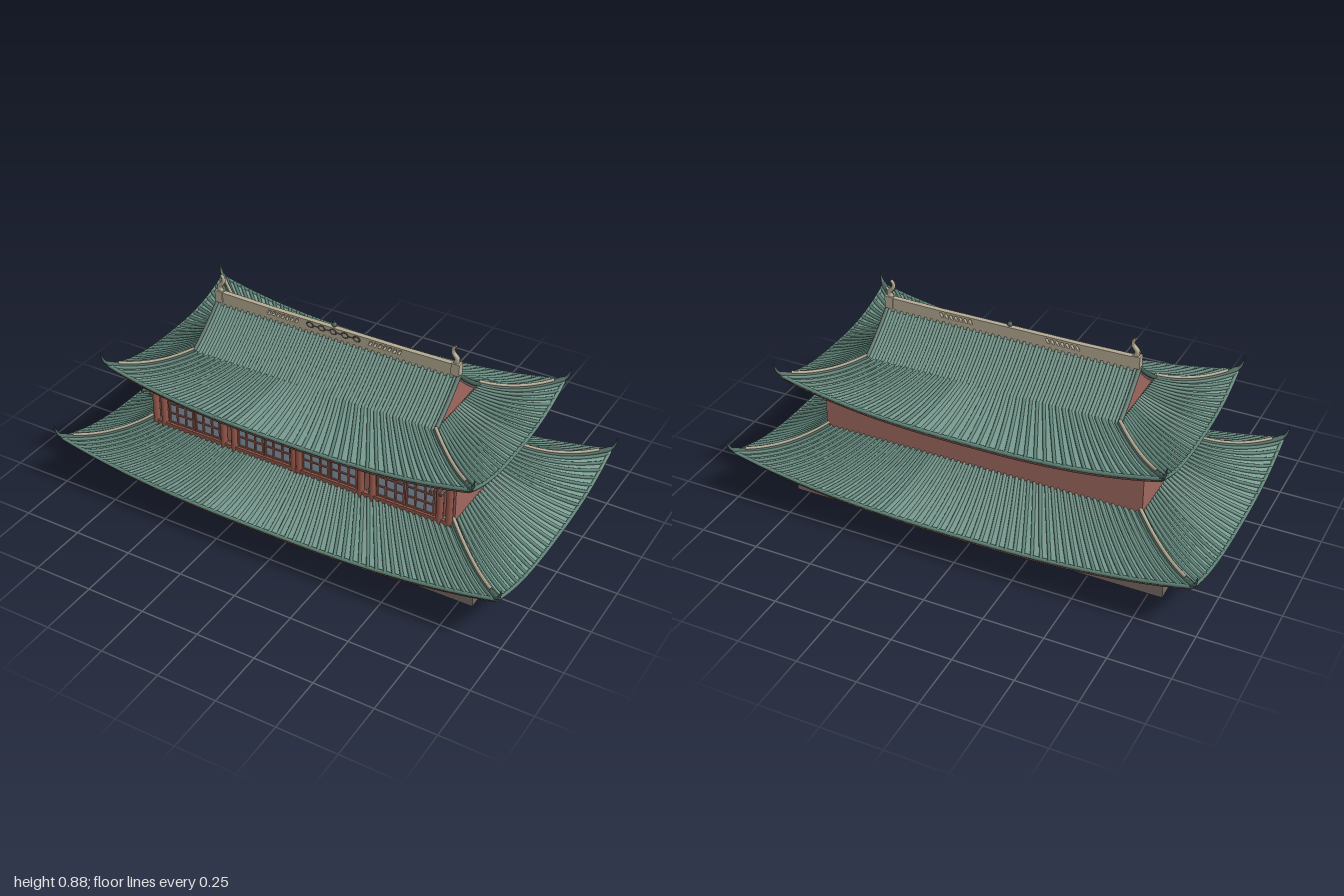
import * as THREE from 'three';
import { mergeGeometries } from 'three/addons/utils/BufferGeometryUtils.js';

const mat = (name, color, side = THREE.FrontSide) => {
  const m = new THREE.MeshStandardMaterial({ color, side });
  m.name = name;
  return m;
};
const D = THREE.DoubleSide;
const M = {
  tile: mat('roof tile', 0x789c91, D),
  rib: mat('tile rib', 0x5f8378, D),
  trim: mat('dark tile trim', 0x4c665e, D),
  red: mat('red plaster', 0xa0685f, D),
  wood: mat('red wood', 0x93574a, D),
  soffit: mat('soffit', 0x5f5550, D),
  stone: mat('stone base', 0x766b65),
  cream: mat('ridge cream', 0xb5ab94, D),
  glass: mat('window glass', 0x8c9cac),
};
const V = (x, y, z) => new THREE.Vector3(x, y, z);
const lerp = THREE.MathUtils.lerp;

function add(parent, name, geo, material, x = 0, y = 0, z = 0) {
  const mesh = new THREE.Mesh(geo, material);
  mesh.name = name;
  mesh.position.set(x, y, z);
  parent.add(mesh);
  return mesh;
}
const box = (parent, name, w, h, d, material, x, y, z) =>
  add(parent, name, new THREE.BoxGeometry(w, h, d), material, x, y, z);

// grid surface from a rule fn(s, u), s in -1..1, u in 0..1
function sheet(fn, ns, nu) {
  const pos = [], idx = [];
  for (let j = 0; j <= nu; j++)
    for (let i = 0; i <= ns; i++) pos.push(...fn(-1 + (2 * i) / ns, j / nu).toArray());
  for (let j = 0; j < nu; j++)
    for (let i = 0; i < ns; i++) {
      const a = j * (ns + 1) + i, b = a + ns + 1;
      idx.push(a, a + 1, b, a + 1, b + 1, b);
    }
  const g = new THREE.BufferGeometry();
  g.setAttribute('position', new THREE.Float32BufferAttribute(pos, 3));
  g.setIndex(idx);
  g.computeVertexNormals();
  return g;
}

// round bar along points, narrowing to a share of its radius at the end
function bar(points, r, end = 1, segs = 8, sides = 6) {
  const curve = new THREE.CatmullRomCurve3(points);
  const g = new THREE.TubeGeometry(curve, segs, r, sides);
  g.deleteAttribute('uv');
  const p = g.attributes.position, v = V(0, 0, 0);
  for (let i = 0; i < p.count; i++) {
    const t = Math.floor(i / (sides + 1)) / segs;
    v.fromBufferAttribute(p, i).lerp(curve.getPointAt(t), (1 - end) * t);
    p.setXYZ(i, v.x, v.y, v.z);
  }
  return g;
}
const steps = (n, fn) => Array.from({ length: n + 1 }, (_, i) => fn(i / n));

// four curved slopes with ribs, eaves, hips and upturned corner horns
function hipRoof(name, o) {
  const g = new THREE.Group();
  g.name = name;
  const turn = (k, a, y, b) => [V(a, y, b), V(b, y, -a), V(-a, y, -b), V(-b, y, a)][k];
  const half = (k) => (k % 2 ? [o.ez, o.ex, o.iz, o.ix] : [o.ex, o.ez, o.ix, o.iz]);
  const lift = (s) => o.lift * Math.abs(s) ** 2.6;
  const at = (k, s, u, dy = 0) => {
    const [ea, eb, ia, ib] = half(k);
    const y = o.y0 + (o.y1 - o.y0) * (0.6 * u + 0.4 * u * u) + lift(s) * (1 - u) ** 2;
    return turn(k, s * lerp(ea, ia, u), y + dy, lerp(eb, ib, u));
  };
  const tiles = [], ribs = [], edges = [], fascia = [], under = [], hips = [], caps = [], horns = [];
  for (let k = 0; k < 4; k++) {
    const band = (f0, y0, f1, y1) => sheet((s, u) => {
      const [ea, eb] = half(k), f = lerp(f0, f1, u);
      return turn(k, s * ea * f, o.y0 + lift(s) + lerp(y0, y1, u), eb * f);
    }, 32, 1);
    tiles.push(sheet((s, u) => at(k, s, u), 32, 10));
    const n = k % 2 ? o.sideRibs : o.frontRibs;
    for (let i = 0; i < n; i++) {
      const s = -1 + (2 * i + 1) / n;
      ribs.push(bar(steps(6, (u) => at(k, s, u, 0.003)), 0.0075, 1, 8, 6));
    }
    edges.push(bar(steps(24, (t) => at(k, 2 * t - 1, 0)), 0.008, 1, 32));
    edges.push(band(1, 0, 1, -0.011));
    fascia.push(band(0.998, -0.011, 0.99, -0.021));
    under.push(band(0.99, -0.021, 0.857, -0.033));
    hips.push(bar(steps(10, (u) => at(k, 1, u, 0.006)), 0.012, 1, 16));
    caps.push(bar(steps(8, (t) => at(k, 1, lerp(0.12, 1, t), 0.017)), 0.007, 1, 16));
    const c = at(k, 1, 0), sx = Math.sign(c.x), sz = Math.sign(c.z);
    horns.push(bar([c.clone().add(V(-0.015 * sx, 0.004, -0.012 * sz)),
      c.clone().add(V(0.006 * sx, 0.012, 0.004 * sz)),
      c.clone().add(V(0.016 * sx, 0.034, 0.011 * sz)),
      c.clone().add(V(0.02 * sx, 0.06, 0.014 * sz))], 0.011, 0.1));
  }
  const put = (label, list, m) => add(g, label, mergeGeometries(list), m);
  put('roofSlopes', tiles, M.tile);
  put('tileRibs', ribs, M.rib);
  put('eaveEdges', edges, M.rib);
  put('eaveFascia', fascia, M.wood);
  put('eaveSoffit', under, M.soffit);
  put('hipRidges', hips, M.trim);
  put('hipRidgeCaps', caps, M.cream);
  put('cornerHorns', horns, M.trim);
  return g;
}

// upper gabled part of the top roof
function gableRoof(hx, hz, y0, y1) {
  const g = new THREE.Group();
  g.name = 'gableRoof';
  const y = (t) => y0 + (y1 - y0) * (0.8 * t + 0.2 * t * t);
  const slopes = [], ribs = [], edges = [], boards = [];
  for (const d of [1, -1]) {
    const at = (x, t, dy = 0) => V(d * x, y(t) + dy, d * hz * (1 - t));
    slopes.push(sheet((s, t) => at(s * (hx + 0.004), t), 1, 8));
    for (let i = 0; i < 40; i++) {
      const x = hx * (-1 + (2 * i + 1) / 40);
      ribs.push(bar(steps(4, (t) => at(x, t, 0.003)), 0.0075, 1, 5, 6));
    }
    for (const e of [1, -1]) {
      edges.push(bar(steps(5, (t) => at(e * hx, t, 0.004)), 0.01, 1, 8));
      boards.push(sheet((s, t) => at(e * (hx + 0.002), t, -0.01 + 0.009 * s), 1, 8));
    }
  }
  add(g, 'gableSlopes', mergeGeometries(slopes), M.tile);
  add(g, 'gableRibs', mergeGeometries(ribs), M.rib);
  add(g, 'gableEdges', mergeGeometries(edges), M.trim);
  add(g, 'bargeBoards', mergeGeometries(boards), M.soffit);
  const tri = new THREE.Shape([...steps(8, (t) => new THREE.Vector2(hz * (1 - t), y(t))),
    ...steps(8, (t) => new THREE.Vector2(-hz * t, y(1 - t))).slice(1)]);
  for (const e of [1, -1])
    add(g, 'gableWall', new THREE.ShapeGeometry(tri), M.red, e * (hx - 0.004)).rotation.y = e * Math.PI / 2;
  return g;
}

// openwork main ridge with end finials
function mainRidge() {
  const g = new THREE.Group();
  g.name = 'mainRidge';
  const P = (x, y) => new THREE.Vector2(x, y);
  const shape = new THREE.Shape([P(-0.545, 0.745), P(0.545, 0.745), P(0.545, 0.806), P(0.3, 0.802),
    P(-0.3, 0.802), P(-0.545, 0.806)]);
  for (const e of [1, -1])
    for (let i = 0; i < 7; i++) {
      const x = e * (0.165 + i * 0.021);
      shape.holes.push(new THREE.Path([P(x - 0.01, 0.774), P(x + 0.002, 0.774), P(x + 0.01, 0.793), P(x - 0.002, 0.793)]));
    }
  add(g, 'ridgeWall', new THREE.ExtrudeGeometry(shape, { depth: 0.022, bevelEnabled: false }), M.cream, 0, 0, -0.011);
  for (let i = -2; i <= 2; i++) {
    add(g, 'chainRing', new THREE.TorusGeometry(0.011, 0.0025, 5, 14), M.soffit, i * 0.052, 0.784, 0.011).scale.x = 1.3;
    if (i < 2) box(g, 'chainLink', 0.022, 0.004, 0.004, M.soffit, i * 0.052 + 0.026, 0.784, 0.011);
  }
  for (const e of [1, -1]) {
    box(g, 'finialBlock', 0.035, 0.05, 0.03, M.cream, e * 0.528, 0.785, 0);
    add(g, 'endFinial', bar([V(e * 0.522, 0.8, 0), V(e * 0.53, 0.825, 0), V(e * 0.512, 0.85, 0),
      V(e * 0.512, 0.868, 0), V(e * 0.522, 0.88, 0)], 0.013, 0.45, 12), M.cream);
    add(g, 'finialFin', bar([V(e * 0.525, 0.815, 0), V(e * 0.54, 0.825, 0), V(e * 0.543, 0.838, 0)], 0.006, 0.2), M.cream);
  }
  add(g, 'centreFinial', new THREE.SphereGeometry(0.011, 10, 8), M.trim, 0, 0.812, 0);
  add(g, 'centreSpire', new THREE.ConeGeometry(0.006, 0.034, 8), M.trim, 0, 0.832, 0);
  return g;
}

// windows, columns and brackets along the front
function facade() {
  const g = new THREE.Group();
  g.name = 'facade';
  for (const c of [-0.479, -0.149, 0.149, 0.479])
    for (const e of [-1, 1]) {
      const x = c + e * 0.063, w = 0.114;
      box(g, 'windowGlass', w, 0.2, 0.006, M.glass, x, 0.4, 0.284);
      for (const s of [-0.5, -0.18, 0.18, 0.5])
        box(g, 'windowStile', 0.007, 0.2, 0.012, M.wood, x + s * w, 0.4, 0.286);
      for (let r = 0; r <= 4; r++)
        box(g, 'windowRail', w, 0.006, 0.012, M.wood, x, 0.32 + r * 0.044, 0.286);
    }
  for (const x of [-0.665, -0.625, -0.338, -0.288, -0.012, 0.012, 0.288, 0.338, 0.625, 0.665]) {
    add(g, 'column', new THREE.CylinderGeometry(0.014, 0.014, 0.37, 12), M.wood, x, 0.33, 0.29);
    box(g, 'bracketBlock', 0.02, 0.014, 0.04, M.wood, x, 0.511, 0.318);
    add(g, 'bracketArm', new THREE.CylinderGeometry(0.007, 0.007, 0.08, 8), M.soffit, x, 0.492, 0.335).rotation.x = Math.PI / 2;
  }
  box(g, 'lintel', 1.35, 0.022, 0.024, M.wood, 0, 0.507, 0.288);
  box(g, 'sill', 1.35, 0.02, 0.024, M.wood, 0, 0.305, 0.288);
  return g;
}

export function createModel() {
  const model = new THREE.Group();
  model.name = 'hall';
  box(model, 'base', 1.614, 0.145, 0.694, M.stone, 0, 0.0725, 0);
  box(model, 'hallWalls', 1.368, 0.375, 0.556, M.red, 0, 0.3325, 0);
  model.add(facade());
  model.add(hipRoof('lowerRoof', { ex: 0.98, ez: 0.525, ix: 0.675, iz: 0.275, y0: 0.157, y1: 0.312,
    lift: 0.09, frontRibs: 54, sideRibs: 26 }));
  model.add(hipRoof('upperRoof', { ex: 0.8, ez: 0.408, ix: 0.54, iz: 0.18, y0: 0.511, y1: 0.612,
    lift: 0.08, frontRibs: 40, sideRibs: 24 }));
  model.add(gableRoof(0.54, 0.18, 0.612, 0.755));
  model.add(mainRidge());
  return model;
}
